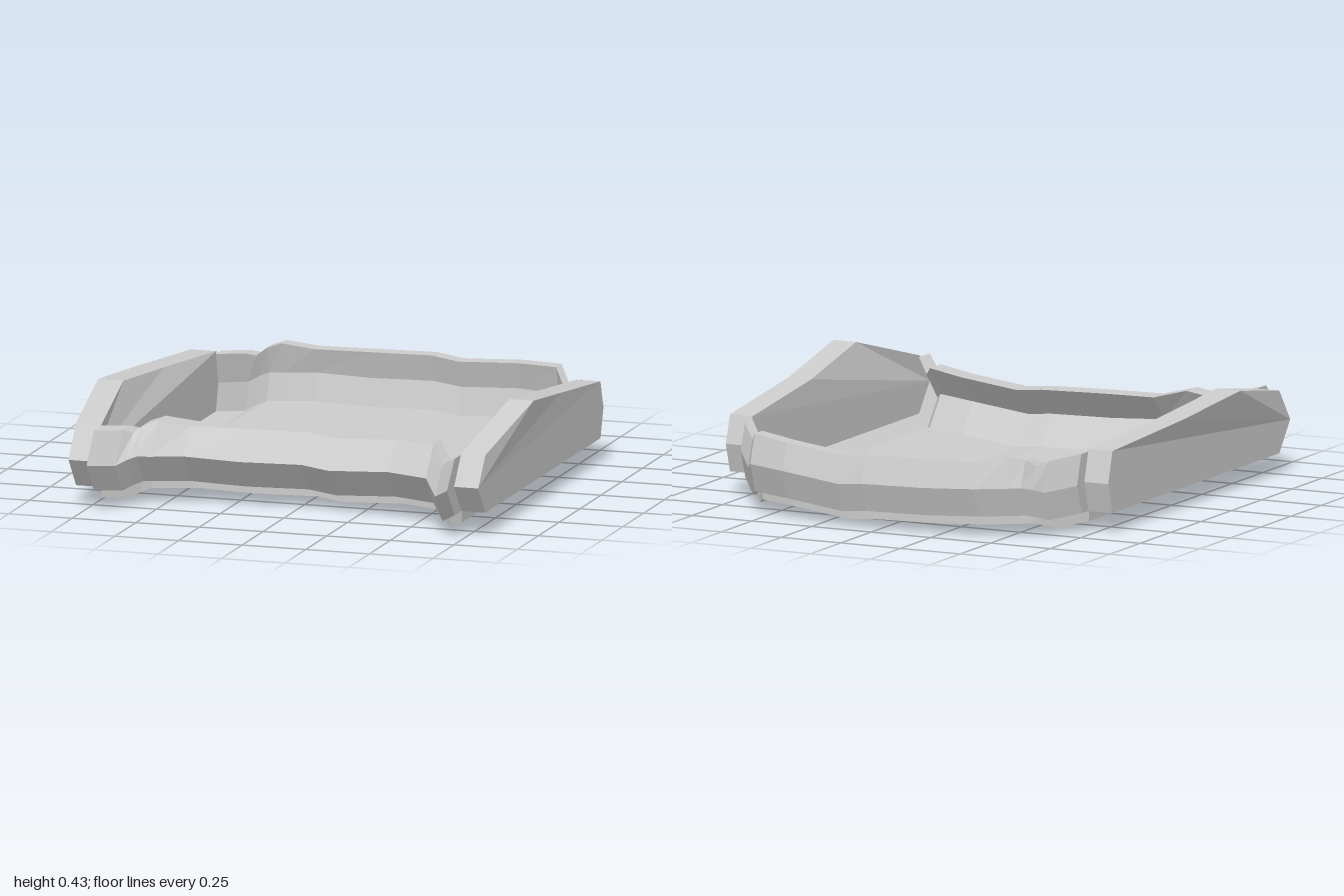
import * as THREE from 'three';

const material = new THREE.MeshStandardMaterial({ color: 0xcccccc, flatShading: true });

// Skin a row of cross-sections running towards +x; each ring is
// counter-clockwise seen from +x and both ends are capped with a fan.
function loft(name, rings) {
  const pos = [];
  const n = rings[0].length;
  const tri = (a, b, c) => pos.push(...a, ...b, ...c);
  for (let s = 0; s < rings.length - 1; s++) {
    const A = rings[s], B = rings[s + 1];
    for (let i = 0; i < n; i++) {
      const j = (i + 1) % n;
      tri(A[i], A[j], B[i]);
      tri(A[j], B[j], B[i]);
    }
  }
  const first = rings[0], last = rings[rings.length - 1];
  for (let i = 1; i < n - 1; i++) {
    tri(first[0], first[i + 1], first[i]);
    tri(last[0], last[i], last[i + 1]);
  }
  const geo = new THREE.BufferGeometry();
  geo.setAttribute('position', new THREE.Float32BufferAttribute(pos, 3));
  geo.computeVertexNormals();
  const mesh = new THREE.Mesh(geo, material);
  mesh.name = name;
  return mesh;
}

// Stations across the width: x, front edge z, back edge z, height shift, rim top y
const stations = [
  [-0.71, 0.95, -0.70, 0, 0.315],
  [-0.63, 0.85, -0.81, -0.015, 0.30],
  [-0.60, 0.81, -0.85, 0, 0.285],
  [-0.57, 0.78, -0.885, 0.01, 0.31],
  [-0.52, 0.755, -0.91, 0.008, 0.325],
  [-0.41, 0.70, -0.96, 0.005, 0.30],
  [-0.20, 0.685, -0.975, -0.005, 0.30],
  [0.04, 0.66, -1.0, -0.005, 0.298],
  [0.15, 0.675, -0.985, -0.017, 0.285],
  [0.40, 0.715, -0.94, 0.003, 0.305],
  [0.57, 0.785, -0.875, 0.005, 0.315],
  [0.645, 0.905, -0.745, -0.035, 0.265],
  [0.72, 0.99, -0.66, 0.01, 0.31],
];

// Angled shell section of the front rim
const frontRing = ([x, f, , dy, top]) => [
  [x, 0.197 + dy, f],
  [x, 0.085 + dy, f - 0.09],
  [x, 0.085 + dy, f - 0.18],
  [x, 0.197 + dy, f - 0.09],
  [x, top, f - 0.18],
  [x, top, f - 0.09],
];

// Angled shell section of the back rim
const backRing = ([x, , b, dy, top]) => [
  [x, 0.19 + dy, b],
  [x, top - 0.01, b + 0.035],
  [x, top - 0.01, b + 0.1],
  [x, 0.19 + dy, b + 0.07],
  [x, 0.08 + dy, b + 0.1],
  [x, 0.08 + dy, b + 0.04],
];

// Floor plate section between the two rims
const floorRing = ([x, f, b, dy]) => [
  [x, 0.04 + dy, f - 0.18],
  [x, 0.04 + dy, b + 0.1],
  [x, 0.086 + dy, b + 0.1],
  [x, 0.086 + dy, f - 0.18],
];

// Side wall: outline points [z, y, outward lean], skinned between two x planes
function wall(name, x0, x1, outline) {
  const side = Math.sign(x0);
  const ring = x => outline.map(([z, y, lean = 0]) => [x + side * lean, y, z]);
  return loft(name, [ring(x0), ring(x1)]);
}

export function createModel() {
  const group = new THREE.Group();
  group.name = 'tray';
  group.add(
    loft('floor', stations.map(floorRing)),
    loft('frontRim', stations.map(frontRing)),
    loft('backRim', stations.map(backRing)),
    wall('leftWall', 0.72, 0.815, [
      [0.905, 0.205], [0.82, 0.095], [-0.56, 0.095], [-0.595, 0.205],
      [-0.56, 0.312], [-0.07, 0.37, 0.005], [0.38, 0.435, 0.045], [0.82, 0.315],
    ]),
    wall('rightWall', -0.81, -0.71, [
      [0.86, 0.195], [0.77, 0.08], [-0.605, 0.08], [-0.64, 0.195],
      [-0.605, 0.315], [-0.1, 0.355, 0.04], [0.34, 0.393, 0.055], [0.77, 0.318],
    ]),
  );
  return group;
}
